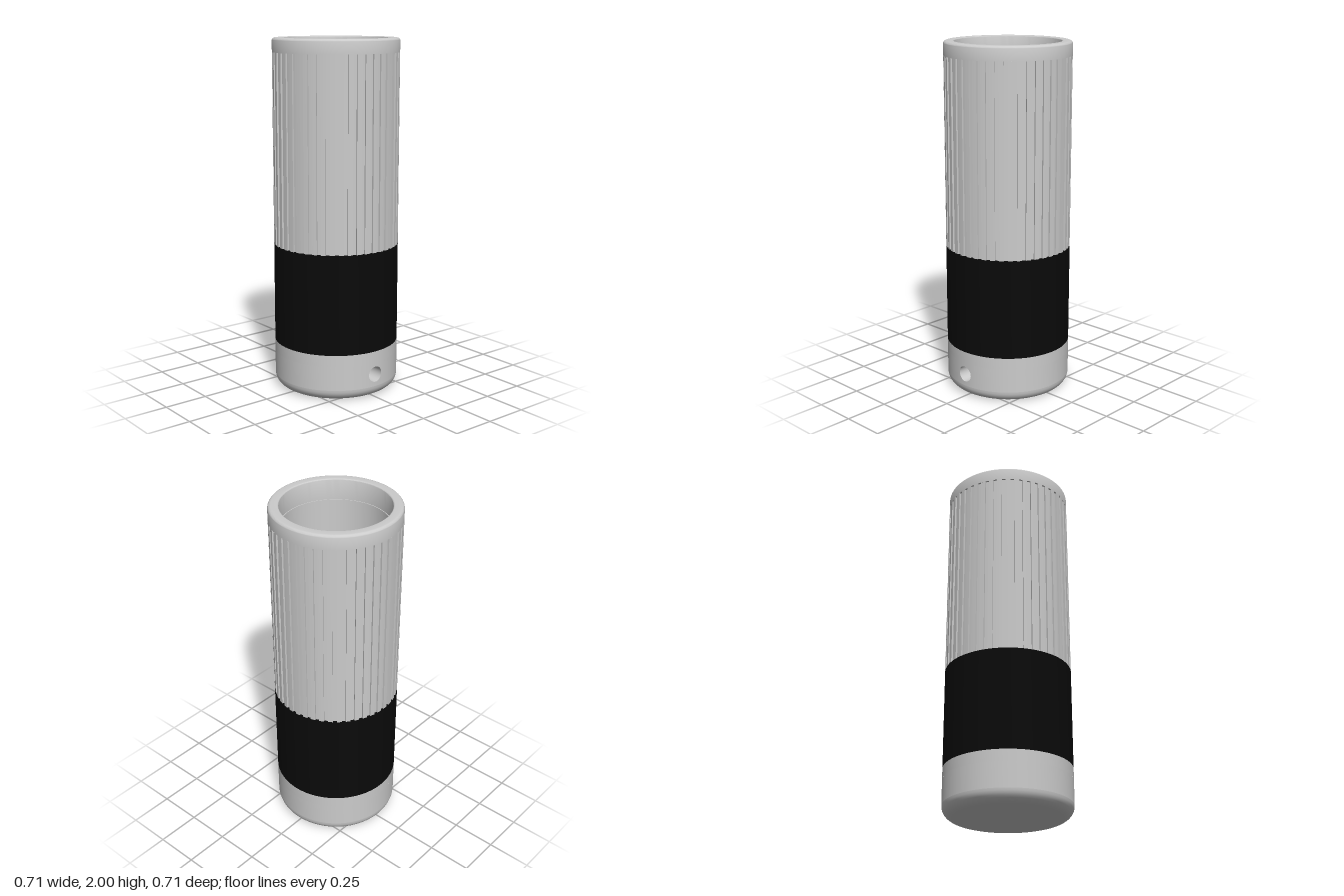
import * as THREE from 'three';
import { toCreasedNormals } from 'three/addons/utils/BufferGeometryUtils.js';
import { ParametricGeometry } from 'three/addons/geometries/ParametricGeometry.js';

const R = 0.356;          // outer radius
const SEG = 128;
const HOLE = { y: 0.135, r: 0.045, half: 0.07 };

const grey = new THREE.MeshStandardMaterial({ color: 0xcccccc });
const black = new THREE.MeshStandardMaterial({ color: 0x0a0a0a });

// Revolved profile, given as [radius, height] pairs
function lathe(points, start = 0, length = Math.PI * 2) {
  const profile = points.map(([r, y]) => new THREE.Vector2(r, y));
  return toCreasedNormals(new THREE.LatheGeometry(profile, SEG, start, length), 0.5);
}

// Quarter-round points about a centre, between two angles in degrees
function fillet(cx, cy, r, from, to, steps = 6) {
  return Array.from({ length: steps + 1 }, (_, i) => {
    const a = THREE.MathUtils.degToRad(from + ((to - from) * i) / steps);
    return [cx + r * Math.cos(a), cy + r * Math.sin(a)];
  });
}

// Point on the outer wall at an arc distance s from the +x side
const onWall = (s, y, target) => target.set(R * Math.cos(s / R), y, R * Math.sin(s / R));

function add(group, name, geometry, material = grey) {
  const mesh = new THREE.Mesh(geometry, material);
  mesh.name = name;
  group.add(mesh);
}

// Tube section with evenly spaced vertical grooves
function fluted(bottom, top, count = 45) {
  const shape = new THREE.Shape();
  const pitch = (Math.PI * 2) / count;
  const halfGroove = 0.011 / R;
  const floor = R - 0.01;
  for (let k = 0; k < count; k++) {
    const a = -Math.PI / 2 + pitch * (k + 0.5);
    const corners = [[R, -halfGroove], [floor, -halfGroove], [floor, halfGroove], [R, halfGroove], [R, pitch / 2]];
    corners.forEach(([r, d], i) => {
      const x = r * Math.cos(a + d), y = r * Math.sin(a + d);
      if (k === 0 && i === 0) shape.moveTo(x, y);
      else shape.lineTo(x, y);
    });
  }
  shape.closePath();
  const bore = new THREE.Path();
  bore.absarc(0, 0, 0.31, 0, Math.PI * 2, true);
  shape.holes.push(bore);
  const geometry = new THREE.ExtrudeGeometry(shape, { depth: top - bottom, bevelEnabled: false, curveSegments: 48 });
  geometry.rotateX(-Math.PI / 2).translate(0, bottom, 0);
  return toCreasedNormals(geometry, 0.5);
}

export function createModel() {
  const model = new THREE.Group();
  model.name = 'flutedCylinder';

  // Base: rounded foot, and a wall left open around the side hole
  const base = new THREE.Group();
  base.name = 'base';
  model.add(base);
  const low = HOLE.y - HOLE.half, high = HOLE.y + HOLE.half;
  const gap = HOLE.half / R;
  add(base, 'foot', lathe([[0, 0], ...fillet(R - low, low, low, -90, 0, 8)]));
  add(base, 'lowerWall', lathe([[R, low], [R, high]], Math.PI / 2 + gap, Math.PI * 2 - 2 * gap));
  add(base, 'upperWall', lathe([[R, high], [R, 0.27]]));

  // Wall patch running from the round hole out to a square edge
  add(base, 'holeSurround', new ParametricGeometry((u, v, target) => {
    const a = u * Math.PI * 2, c = Math.cos(a), s = Math.sin(a);
    const edge = HOLE.half / Math.max(Math.abs(c), Math.abs(s));
    const d = THREE.MathUtils.lerp(HOLE.r, edge, v);
    onWall(d * c, HOLE.y + d * s, target);
  }, 64, 4));

  // Blind side hole with a rounded end
  const boreEnd = 0.27;
  add(base, 'sideHole', new ParametricGeometry((u, v, target) => {
    const a = -u * Math.PI * 2;
    const t = Math.max(0, v - 0.3) / 0.7 * Math.PI / 2;
    const d = HOLE.r * Math.max(Math.cos(t), 0.001);
    onWall(d * Math.cos(a), HOLE.y + d * Math.sin(a), target);
    if (v > 0) {
      const inner = boreEnd - HOLE.r * Math.sin(t);
      target.x = THREE.MathUtils.lerp(target.x, inner, Math.min(1, v / 0.3));
    }
  }, 64, 20));

  // Dark band, with a ledge that closes the groove ends
  add(model, 'darkBand', lathe([[R, 0.27], [R, 0.84], [0.32, 0.84]]), black);

  // Fluted grip
  add(model, 'grip', fluted(0.84, 1.92));

  // Rim and stepped bore with a conical bottom
  add(model, 'rimAndBore', lathe([
    [0.31, 1.92],
    [R, 1.92],
    ...fillet(R - 0.018, 1.982, 0.018, 0, 90),
    ...fillet(0.305, 1.992, 0.008, 90, 180),
    [0.297, 1.88],
    [0.293, 1.88],
    [0.293, 0.85],
    [0.246, 0.85],
    [0.134, 0.67],
    [0, 0.67],
  ]));

  return model;
}
